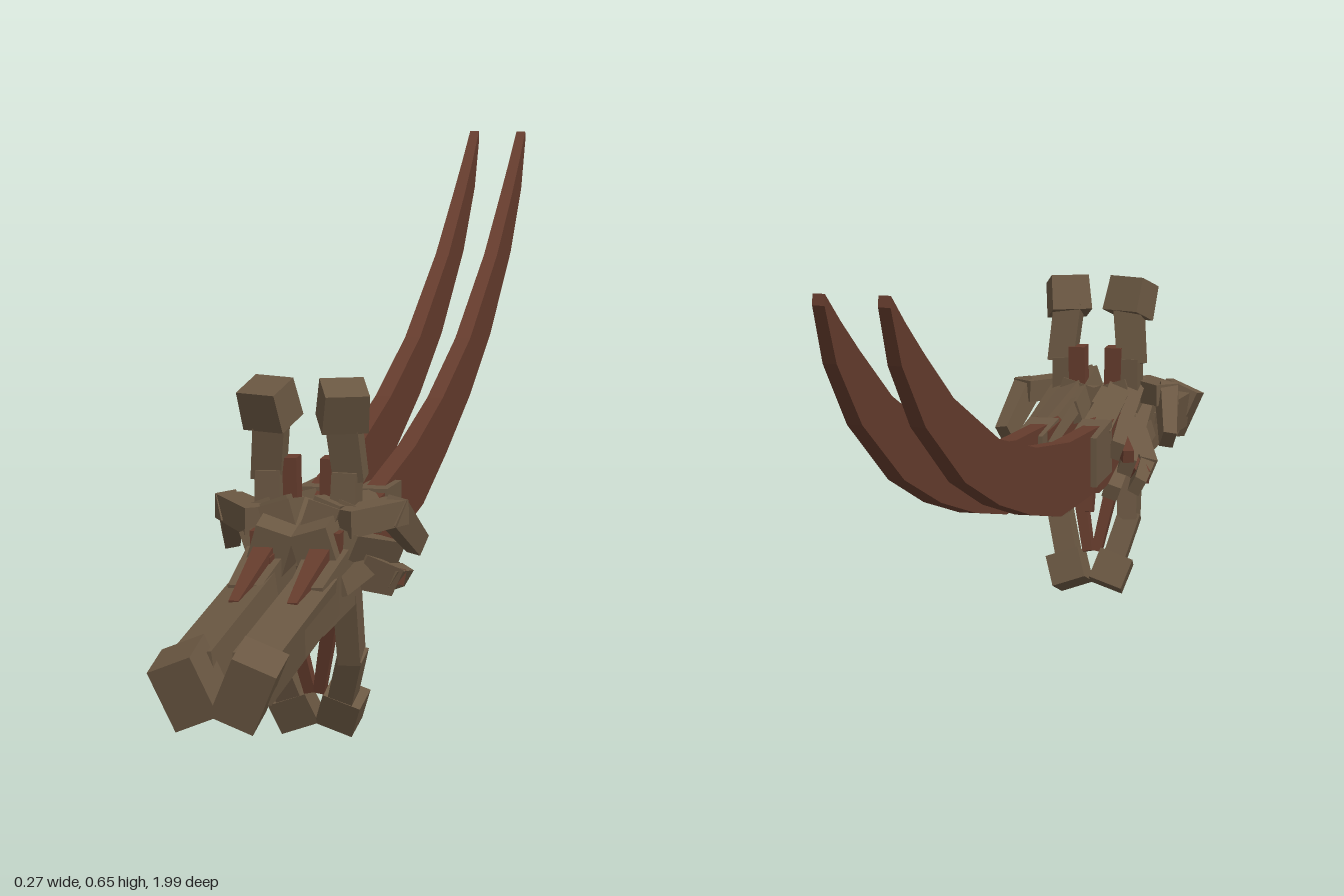
import * as THREE from 'three';

const wood = new THREE.MeshStandardMaterial({ color: 0x6a5742 });
wood.name = 'weathered brown';
const rust = new THREE.MeshStandardMaterial({ color: 0x653c2d });
rust.name = 'rust red';

// Tapered square beam from a to b; w is across, h is up (or along z for upright beams)
function beam(parent, side, name, mat, a, b, w, h, taper = 1, roll = 0) {
  const start = new THREE.Vector3(a[0] * side, a[1], a[2]);
  const end = new THREE.Vector3(b[0] * side, b[1], b[2]);
  const dir = end.clone().sub(start);
  const geo = new THREE.BoxGeometry(w, h, dir.length());
  const p = geo.attributes.position;
  for (let i = 0; i < p.count; i++) {
    if (p.getZ(i) > 0) p.setXY(i, p.getX(i) * taper, p.getY(i) * taper);
  }
  geo.computeVertexNormals();
  const mesh = new THREE.Mesh(geo, mat);
  mesh.name = name;
  mesh.position.copy(start).add(end).multiplyScalar(0.5);
  if (Math.abs(dir.y) > 0.8 * dir.length()) mesh.up.set(0, 0, 1);
  mesh.lookAt(end);
  mesh.rotateZ(roll * side);
  parent.add(mesh);
}

// Curved blade: rectangular sections [z, top y, z, bottom y, half thickness]
function blade(parent, side) {
  const rows = [
    [0.22, 0.285, 0.22, 0.195, 0.012], [0.0, 0.302, -0.06, 0.212, 0.012],
    [-0.22, 0.335, -0.25, 0.252, 0.011], [-0.45, 0.388, -0.45, 0.305, 0.011],
    [-0.7, 0.482, -0.64, 0.37, 0.01], [-0.85, 0.56, -0.84, 0.472, 0.009],
    [-0.93, 0.605, -0.95, 0.56, 0.008], [-0.995, 0.645, -0.997, 0.632, 0.007],
  ];
  const x = 0.037 * side, pos = [];
  const ring = ([zt, yt, zb, yb, t]) =>
    [[x - t, yt, zt], [x + t, yt, zt], [x + t, yb, zb], [x - t, yb, zb]];
  const quad = (a, b, c, d) => pos.push(...a, ...b, ...c, ...a, ...c, ...d);
  for (let i = 0; i < rows.length - 1; i++) {
    const a = ring(rows[i]), b = ring(rows[i + 1]);
    for (let k = 0; k < 4; k++) {
      const n = (k + 1) % 4;
      quad(a[k], a[n], b[n], b[k]);
    }
  }
  const first = ring(rows[0]), last = ring(rows[rows.length - 1]);
  quad(first[3], first[2], first[1], first[0]);
  quad(last[0], last[1], last[2], last[3]);
  const geo = new THREE.BufferGeometry();
  geo.setAttribute('position', new THREE.Float32BufferAttribute(pos, 3));
  geo.computeVertexNormals();
  const mesh = new THREE.Mesh(geo, rust);
  mesh.name = 'blade';
  parent.add(mesh);
}

function buildHalf(side) {
  const g = new THREE.Group();
  g.name = side > 0 ? 'leftHalf' : 'rightHalf';
  const add = (...args) => beam(g, side, ...args);
  blade(g, side);

  // Grip and pommel
  add('pommel', wood, [0.034, 0.19, 0.92], [0.034, 0.178, 0.99], 0.054, 0.076, 1, -0.4);
  add('grip', wood, [0.035, 0.213, 0.6], [0.034, 0.188, 0.94], 0.05, 0.055, 1, -0.12);
  add('gripUnderside', rust, [0.03, 0.19, 0.6], [0.03, 0.165, 0.9], 0.03, 0.03);
  add('gripOuterBinding', wood, [0.048, 0.215, 0.55], [0.05, 0.2, 0.78], 0.026, 0.05, 0.85);
  add('gripRoot', wood, [0.037, 0.225, 0.5], [0.037, 0.208, 0.66], 0.055, 0.08, 0.75);
  add('gripRootSpike', rust, [0.035, 0.262, 0.5], [0.035, 0.225, 0.73], 0.03, 0.04, 0.4);

  // Guard core and blade collar
  add('guardCore', rust, [0.036, 0.24, 0.55], [0.036, 0.24, 0.18], 0.04, 0.085);
  add('guardFrontBlock', wood, [0.033, 0.255, 0.43], [0.033, 0.245, 0.57], 0.06, 0.11, 0.8, 0.3);
  add('guardCrest', wood, [0.026, 0.295, 0.53], [0.022, 0.275, 0.36], 0.04, 0.04, 0.8, 0.3);
  add('collar', wood, [0.038, 0.25, 0.26], [0.038, 0.246, 0.15], 0.042, 0.075, 0.93);
  add('collarHook', rust, [0.036, 0.21, 0.215], [0.036, 0.165, 0.205], 0.016, 0.022, 0.8);

  // Overlapping slats sweeping back and down from the guard
  const slats = [
    [[0.03, 0.305, 0.52], [0.045, 0.27, 0.24], 0.035, 0.025],
    [[0.05, 0.295, 0.5], [0.066, 0.245, 0.25], 0.025, 0.035],
    [[0.055, 0.265, 0.53], [0.075, 0.215, 0.29], 0.028, 0.035],
    [[0.045, 0.235, 0.52], [0.06, 0.185, 0.25], 0.03, 0.028],
    [[0.015, 0.25, 0.5], [0.012, 0.225, 0.3], 0.022, 0.04],
    [[0.02, 0.285, 0.38], [0.02, 0.26, 0.18], 0.018, 0.02],
  ];
  for (const [a, b, w, h] of slats) add('guardSlat', wood, a, b, w, h, 0.75, 0.35);

  // Outer spurs beside the guard
  add('spurBase', wood, [0.05, 0.225, 0.46], [0.085, 0.195, 0.38], 0.035, 0.045, 0.8, 0.3);
  add('spurTip', wood, [0.082, 0.2, 0.4], [0.088, 0.185, 0.3], 0.022, 0.03, 0.8, 0.5);
  add('redSpurUpper', rust, [0.045, 0.25, 0.36], [0.083, 0.235, 0.26], 0.022, 0.025, 0.7);
  add('redSpurLower', rust, [0.05, 0.215, 0.41], [0.09, 0.19, 0.34], 0.025, 0.025, 0.8);
  add('redFrontStud', rust, [0.03, 0.25, 0.53], [0.032, 0.248, 0.59], 0.025, 0.025, 0.8);

  // Bent side arms
  add('sideArm', wood, [0.05, 0.29, 0.52], [0.108, 0.294, 0.44], 0.04, 0.034, 0.9);
  add('sideArmTip', wood, [0.103, 0.297, 0.46], [0.12, 0.24, 0.375], 0.026, 0.038, 0.75, 0.2);

  // Upper prongs
  add('upperProngRoot', wood, [0.046, 0.25, 0.47], [0.048, 0.345, 0.465], 0.034, 0.05, 0.9);
  add('upperProngCore', rust, [0.025, 0.26, 0.455], [0.027, 0.36, 0.455], 0.024, 0.03);
  add('upperProngStem', wood, [0.052, 0.335, 0.46], [0.044, 0.42, 0.475], 0.038, 0.035, 1.05);
  add('upperProngHead', wood, [0.043, 0.405, 0.472], [0.05, 0.453, 0.49], 0.058, 0.05, 0.95, 0.4);

  // Lower prongs
  add('lowerProngRoot', wood, [0.048, 0.22, 0.475], [0.05, 0.105, 0.447], 0.03, 0.04, 0.95);
  add('lowerProngCore', rust, [0.026, 0.16, 0.455], [0.006, 0.06, 0.43], 0.018, 0.024, 0.8);
  add('lowerProngStem', wood, [0.052, 0.115, 0.45], [0.032, 0.045, 0.42], 0.032, 0.034);
  add('lowerProngHead', wood, [0.038, 0.056, 0.42], [0.024, 0.016, 0.402], 0.05, 0.045);
  return g;
}

export function createModel() {
  const model = new THREE.Group();
  model.name = 'twinBladedSword';
  model.add(buildHalf(1), buildHalf(-1));
  return model;
}
